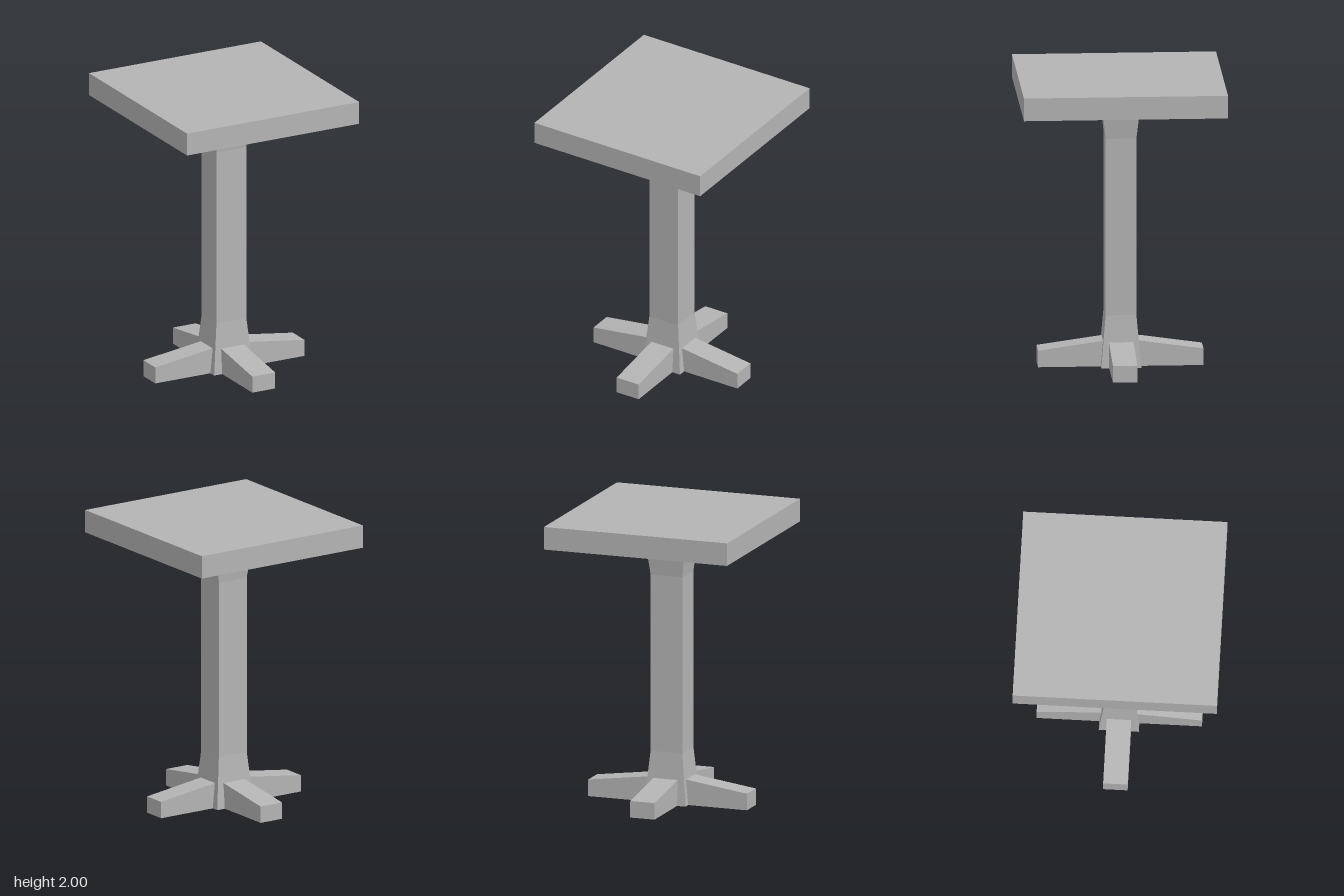
import * as THREE from 'three';

export function createModel() {
  const model = new THREE.Group();
  model.name = 'pedestalTable';

  const grey = new THREE.MeshStandardMaterial({ color: 0xb4b4b4, flatShading: true });
  grey.name = 'plain grey';

  function add(name, geometry, y = 0) {
    const mesh = new THREE.Mesh(geometry, grey);
    mesh.name = name;
    mesh.position.y = y;
    model.add(mesh);
    return mesh;
  }

  // Thick rectangular top
  add('tableTop', new THREE.BoxGeometry(1.325, 0.157, 1.382), 1.9215);

  // Square column, flared at the foot and under the top: [height, half width, half depth]
  const rings = [
    [0, 0.15, 0.136],
    [0.36, 0.115, 0.104],
    [1.585, 0.115, 0.104],
    [1.843, 0.147, 0.133],
  ];
  const column = new THREE.BoxGeometry(2, 3, 2, 1, 3, 1);
  const cp = column.attributes.position;
  for (let i = 0; i < cp.count; i++) {
    const [h, w, d] = rings[Math.round(cp.getY(i) + 1.5)];
    cp.setXYZ(i, cp.getX(i) * w, h, cp.getZ(i) * d);
  }
  column.computeVertexNormals();
  add('column', column);

  // Each beam forms two opposite feet, its top sloping down from the middle
  function footBeam(length, width) {
    const beam = new THREE.BoxGeometry(length, 0.115, width, 2, 1, 1);
    beam.translate(0, 0.0575, 0);
    const p = beam.attributes.position;
    for (let i = 0; i < p.count; i++) {
      if (Math.abs(p.getX(i)) < 0.01 && p.getY(i) > 0.1) p.setY(i, 0.194);
    }
    beam.computeVertexNormals();
    return beam;
  }
  add('sideFeet', footBeam(1.15, 0.166));
  add('frontAndBackFeet', footBeam(1.12, 0.176)).rotation.y = Math.PI / 2;

  return model;
}
